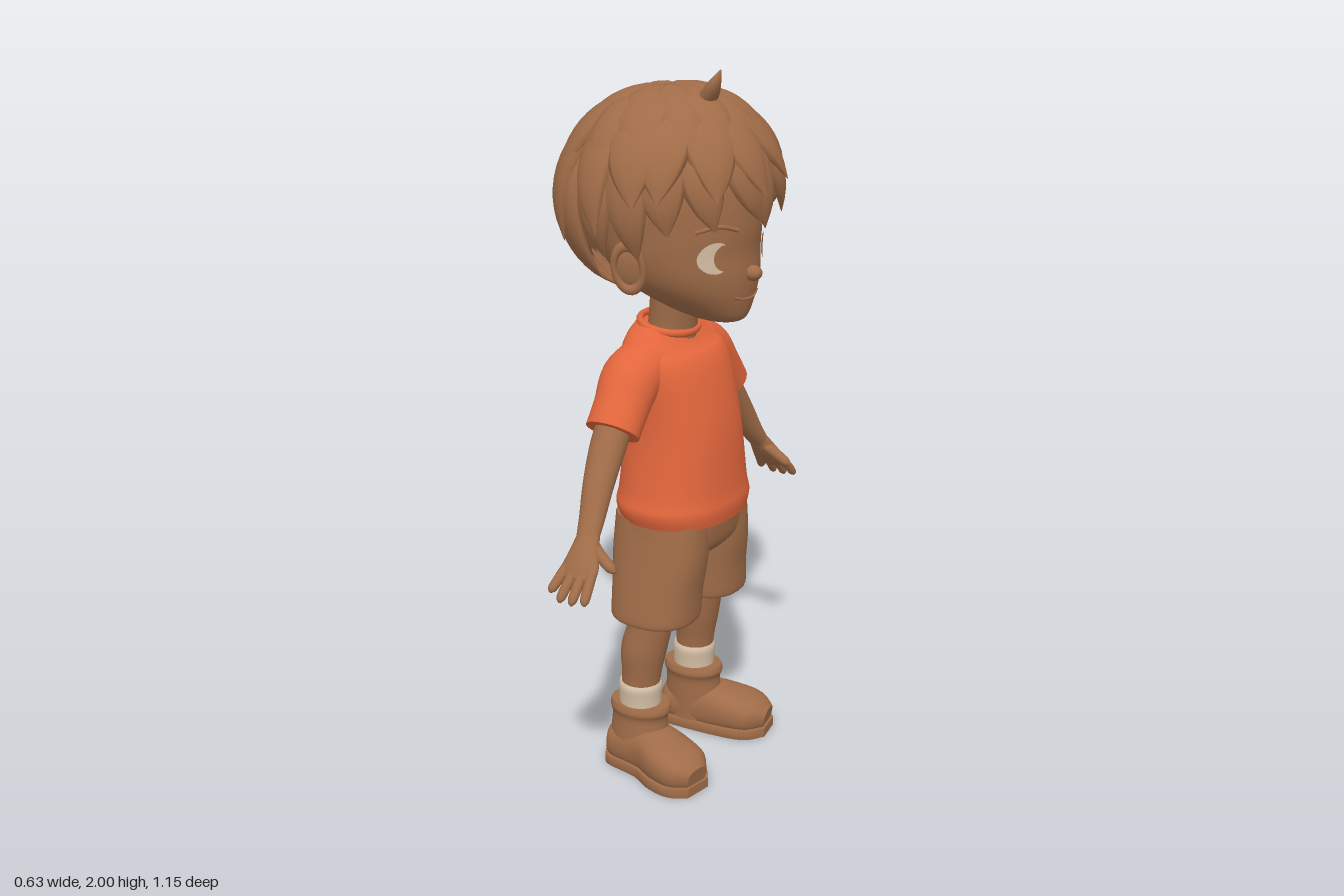
import * as THREE from 'three';

const material = (name, color, side = THREE.FrontSide) => {
  const m = new THREE.MeshStandardMaterial({ color, side });
  m.name = name;
  return m;
};

// Smooth loft through elliptical rings [x, y, z, halfWidth, halfDepth].
// ref points along the depth axis; dir fixes the ring normal (for level hems).
function loft(rings, { ref = [0, 0, 1], dir = null, seg = 28, steps = 5, pow = 2, warp = null } = {}) {
  const n = rings.length, rows = [];
  for (let i = 0; i < n - 1; i++) {
    const q = [rings[Math.max(i - 1, 0)], rings[i], rings[i + 1], rings[Math.min(i + 2, n - 1)]];
    for (let s = 0; s < steps + (i === n - 2 ? 1 : 0); s++) {
      const t = s / steps;
      rows.push(q[1].map((p, k) => {
        const m0 = (q[2][k] - q[0][k]) / 2, m1 = (q[3][k] - p) / 2, d = q[2][k] - p;
        return p + m0 * t + (3 * d - 2 * m0 - m1) * t * t + (m0 + m1 - 2 * d) * t * t * t;
      }));
    }
  }
  const pos = [], idx = [], R = new THREE.Vector3(...ref);
  const centre = (r) => new THREE.Vector3(r[0], r[1], r[2]);
  const add = (p) => { if (warp) warp(p); pos.push(p.x, p.y, p.z); };
  const addRing = (i) => {
    const t = dir ? new THREE.Vector3(...dir)
      : centre(rows[Math.min(i + 1, rows.length - 1)]).sub(centre(rows[Math.max(i - 1, 0)])).normalize();
    const b = R.clone().addScaledVector(t, -R.dot(t)).normalize();
    const a = t.clone().cross(b);
    const round = (v) => Math.sign(v) * Math.pow(Math.abs(v), 2 / pow);
    for (let j = 0; j < seg; j++) {
      const w = (j / seg) * Math.PI * 2;
      add(centre(rows[i]).addScaledVector(a, rows[i][3] * round(Math.cos(w))).addScaledVector(b, rows[i][4] * round(Math.sin(w))));
    }
  };
  rows.forEach((r, i) => addRing(i));
  for (let i = 0; i < rows.length - 1; i++) for (let j = 0; j < seg; j++) {
    const k = (j + 1) % seg, p = i * seg, u = p + seg;
    idx.push(p + j, u + j, p + k, p + k, u + j, u + k);
  }
  // End caps with their own vertices, so hems stay crisp
  [0, rows.length - 1].forEach((i) => {
    const o = pos.length / 3;
    addRing(i);
    add(centre(rows[i]));
    for (let j = 0; j < seg; j++) {
      const k = (j + 1) % seg;
      idx.push(o + seg, o + (i ? k : j), o + (i ? j : k));
    }
  });
  const g = new THREE.BufferGeometry();
  g.setAttribute('position', new THREE.Float32BufferAttribute(pos, 3));
  g.setIndex(idx);
  g.computeVertexNormals();
  return g;
}

export function createModel() {
  const brown = material('warm brown', 0xa06c48, THREE.DoubleSide);
  const orange = material('shirt orange', 0xe2663c);
  const cream = material('cream', 0xd6c0a6);
  const body = new THREE.Group();
  const put = (name, geo, mat) => {
    const m = new THREE.Mesh(geo, mat);
    m.name = name;
    body.add(m);
    return m;
  };
  const up = [0, 1, 0];
  const ball = (x, y, z, a, b, c) => new THREE.SphereGeometry(1, 24, 16).scale(a, b, c).translate(x, y, z);

  // Head and neck
  const head = put('head', loft([
    [0, 1.335, 0.165, 0.025, 0.03], [0, 1.345, 0.15, 0.06, 0.07], [0, 1.37, 0.115, 0.1, 0.118],
    [0, 1.42, 0.07, 0.158, 0.172], [0, 1.47, 0.04, 0.192, 0.205], [0, 1.53, 0.02, 0.21, 0.222],
    [0, 1.6, 0.01, 0.216, 0.236], [0, 1.7, 0, 0.22, 0.235], [0, 1.8, 0, 0.18, 0.19], [0, 1.88, 0, 0.08, 0.09],
  ], { dir: up, seg: 40 }), brown);
  put('neck', loft([[0, 1.2, -0.01, 0.09, 0.075], [0, 1.3, 0.0, 0.076, 0.066], [0, 1.42, 0.015, 0.08, 0.07]], { dir: up }), brown);
  put('nose', ball(0, 1.475, 0.25, 0.024, 0.021, 0.025), brown);

  // Thin face details laid on the head surface
  const ray = new THREE.Raycaster();
  const faceZ = (x, y) => {
    ray.set(new THREE.Vector3(x, y, 1), new THREE.Vector3(0, 0, -1));
    const hit = ray.intersectObject(head)[0];
    return hit ? hit.point.z : 0.2;
  };
  const patch = (x, y, rx, ry, lift) => {
    const g = new THREE.RingGeometry(0.001, 1, 28, 4).scale(rx, ry, 1).translate(x, y, 0);
    const p = g.attributes.position;
    for (let i = 0; i < p.count; i++) p.setZ(i, faceZ(p.getX(i), p.getY(i)) + lift);
    g.computeVertexNormals();
    return g;
  };
  const line = (pts, r) => new THREE.TubeGeometry(
    new THREE.CatmullRomCurve3(pts.map(([x, y]) => new THREE.Vector3(x, y, faceZ(x, y)))), 16, r, 8);
  put('mouth', line([[-0.06, 1.417], [-0.03, 1.408], [0, 1.406], [0.03, 1.408], [0.06, 1.417]], 0.004), brown);
  for (const s of [-1, 1]) {
    put('eyeWhite', patch(s * 0.118, 1.53, 0.038, 0.042, 0.003), cream);
    put('iris', patch(s * 0.099, 1.53, 0.026, 0.035, 0.006), brown);
    put('eyebrow', line([[s * 0.06, 1.598], [s * 0.11, 1.612], [s * 0.16, 1.6]], 0.006), brown);
    // Ear: bowl with a raised rim
    const ear = new THREE.Group();
    ear.name = 'ear';
    const bowl = new THREE.Mesh(ball(0, 0, 0, 0.024, 0.068, 0.044), brown);
    const rim = new THREE.Mesh(new THREE.TorusGeometry(0.052, 0.013, 10, 28).scale(0.72, 1.15, 1).rotateY(Math.PI / 2).translate(s * 0.016, 0, 0), brown);
    bowl.name = 'earBowl';
    rim.name = 'earRim';
    ear.add(bowl, rim);
    ear.position.set(s * 0.235, 1.51, 0.015);
    ear.rotation.set(-0.15, s * -0.45, s * -0.2);
    body.add(ear);
  }

  // Hair surface: polar angle th from the crown, azimuth ph from the front
  const hairPoint = (th, ph, k) => {
    const c = Math.cos(th), f = Math.cos(ph);
    return [0.285 * k * Math.sin(th) * Math.sin(ph), 1.66 + (c > 0 ? 0.28 : 0.27) * k * c, (f > 0 ? 0.275 : 0.29) * k * Math.sin(th) * f];
  };
  const hairline = (ph) => (98 + 60 * Math.pow((1 - Math.cos(ph)) / 2, 1.9)) * Math.PI / 180;
  const cap = new THREE.SphereGeometry(1, 48, 24);
  const cp = cap.attributes.position, uv = cap.attributes.uv;
  for (let i = 0; i < cp.count; i++) {
    const ph = uv.getX(i) * Math.PI * 2;
    cp.setXYZ(i, ...hairPoint((1 - uv.getY(i)) * (hairline(ph) - 0.14), ph, 1));
  }
  cap.computeVertexNormals();
  put('hairCap', cap, brown);

  // Pointed locks in overlapping rows: count, start, end, width, lift
  let seed = 7;
  const jitter = (a) => { seed = (seed * 16807) % 2147483647; return a * (seed / 1073741823 - 1); };
  const shape = [0.35, 0.8, 1, 0.92, 0.6, 0.04];
  const rows = [[17, 0.45, 1.0, 0.066, 0.06], [15, 0.25, 0.82, 0.068, 0.13], [13, 0.1, 0.62, 0.064, 0.09], [9, 0.03, 0.42, 0.055, 0.04]];
  rows.forEach(([count, start, end, width, lift], r) => {
    for (let i = 0; i < count; i++) {
      const ph = ((i + r * 0.5) / count) * Math.PI * 2 + jitter(0.07), limit = hairline(ph);
      const e = end + jitter(0.05), twist = 0.12 + jitter(0.14), w = width * (1 + jitter(0.15));
      const rings = shape.map((m, j) => {
        const u = j / (shape.length - 1);
        return [...hairPoint(limit * (start + (e - start) * u), ph + twist * u * u, 1 + lift * u * u), w * m, 0.024 * m];
      });
      const mid = rings[3];
      put('hairLock', loft(rings, { ref: [mid[0], mid[1] - 1.66, mid[2]], seg: 10, steps: 3 }), brown);
    }
  });
  put('hairTuft', loft([[-0.01, 1.88, 0.08, 0.03, 0.03], [-0.035, 1.93, 0.13, 0.035, 0.025], [-0.055, 1.965, 0.16, 0.022, 0.016], [-0.05, 2.0, 0.175, 0.002, 0.002]], { seg: 10 }), brown);

  // T-shirt with a neckline that dips at the front
  const dip = (p) => { if (p.y > 1.24 && p.z > 0) p.y -= p.z * 0.55 * (p.y - 1.24) / 0.07; };
  put('shirt', loft([
    [0, 0.77, 0.04, 0.2, 0.158], [0, 0.81, 0.036, 0.212, 0.167], [0, 0.86, 0.036, 0.2, 0.16], [0, 1.0, 0.035, 0.181, 0.15],
    [0, 1.1, 0.025, 0.18, 0.14], [0, 1.2, 0.01, 0.188, 0.122], [0, 1.25, -0.005, 0.18, 0.103],
    [0, 1.285, -0.015, 0.148, 0.088], [0, 1.31, -0.018, 0.1, 0.077],
  ], { dir: up, seg: 40, pow: 2.3, warp: dip }), orange);
  put('collar', new THREE.TorusGeometry(0.092, 0.011, 10, 36).scale(1, 0.84, 1).rotateX(Math.PI / 2 + 0.22).translate(0, 1.305, -0.012), orange);

  // Shorts waist
  put('shortsWaist', loft([[0, 0.67, 0.03, 0.16, 0.12], [0, 0.7, 0.03, 0.2, 0.142], [0, 0.76, 0.032, 0.2, 0.15], [0, 0.82, 0.035, 0.19, 0.15]], { dir: up, pow: 2.4 }), brown);

  for (const s of [-1, 1]) {
    const limb = (name, rings, mat, opts) => put(name, loft(rings.map(([x, ...rest]) => [s * x, ...rest]), opts), mat);

    // Sleeve, arm and hand
    limb('sleeve', [[0.11, 1.225, -0.01, 0.068, 0.08], [0.185, 1.185, -0.015, 0.08, 0.084], [0.24, 1.125, -0.01, 0.072, 0.077], [0.287, 1.067, -0.008, 0.067, 0.077]], orange);
    limb('arm', [[0.24, 1.13, -0.01, 0.05, 0.05], [0.305, 1.04, -0.008, 0.046, 0.05], [0.37, 0.95, 0.003, 0.039, 0.043], [0.42, 0.875, 0.016, 0.03, 0.036], [0.455, 0.83, 0.025, 0.023, 0.032]], brown);
    limb('palm', [[0.445, 0.843, 0.024, 0.022, 0.03], [0.475, 0.803, 0.03, 0.024, 0.042], [0.505, 0.765, 0.035, 0.02, 0.055], [0.525, 0.74, 0.037, 0.013, 0.052]], brown);
    for (let f = 0; f < 4; f++) {
      const o = f - 1.5, len = f === 0 ? 0.8 : f === 3 ? 0.92 : 1;
      limb('finger', [[0.508, 0.762, 0.035 + o * 0.027, 0.013, 0.014], [0.508 + 0.035 * len, 0.762 - 0.035 * len, 0.035 + o * 0.032, 0.013, 0.014],
        [0.508 + 0.058 * len, 0.762 - 0.062 * len, 0.034 + o * 0.036, 0.011, 0.012], [0.508 + 0.064 * len, 0.762 - 0.074 * len, 0.034 + o * 0.037, 0.003, 0.003]], brown, { seg: 12 });
    }
    limb('thumb', [[0.46, 0.815, 0.045, 0.017, 0.02], [0.468, 0.79, 0.08, 0.016, 0.016], [0.472, 0.77, 0.11, 0.014, 0.014], [0.474, 0.762, 0.124, 0.004, 0.004]], brown, { seg: 12, ref: [1, 0, 0] });

    // Shorts leg, leg and sock
    limb('shortsLeg', [[0.128, 0.48, 0.025, 0.108, 0.12], [0.128, 0.495, 0.025, 0.114, 0.126], [0.121, 0.57, 0.026, 0.11, 0.13], [0.111, 0.67, 0.03, 0.102, 0.14], [0.1, 0.78, 0.032, 0.095, 0.14]], brown, { dir: up, pow: 2.3 });
    limb('leg', [[0.148, 0.24, -0.017, 0.054, 0.056], [0.148, 0.3, -0.012, 0.056, 0.058], [0.145, 0.37, -0.006, 0.064, 0.066], [0.138, 0.46, 0.014, 0.061, 0.064], [0.13, 0.56, 0.02, 0.07, 0.075]], brown);
    limb('sock', [[0.148, 0.17, -0.017, 0.057, 0.06], [0.148, 0.22, -0.017, 0.059, 0.062], [0.148, 0.255, -0.016, 0.062, 0.064], [0.148, 0.27, -0.016, 0.057, 0.06]], cream, { dir: up });

    // Boot: shaft, foot and flat sole
    limb('bootShaft', [[0.15, 0.03, -0.02, 0.068, 0.09], [0.15, 0.1, -0.018, 0.068, 0.09], [0.147, 0.16, -0.018, 0.066, 0.086], [0.146, 0.185, -0.017, 0.073, 0.094], [0.146, 0.203, -0.017, 0.068, 0.09]], brown, { dir: up });
    const foot = [[0.146, 0.06, -0.112, 0.038, 0.045], [0.148, 0.06, -0.08, 0.066, 0.058], [0.16, 0.068, 0.03, 0.073, 0.072], [0.183, 0.062, 0.11, 0.085, 0.062], [0.198, 0.055, 0.17, 0.077, 0.052], [0.206, 0.048, 0.212, 0.04, 0.03]];
    limb('bootFoot', foot, brown, { ref: up, pow: 2.4, warp: (p) => { p.y = Math.max(p.y, 0.006); } });
    limb('bootSole', foot.map(([x, y, z, a]) => [x, 0.014, z * 1.02, a * 1.05, 0.03]), brown, { ref: up, pow: 4, warp: (p) => { p.y = Math.min(Math.max(p.y, 0), 0.028); } });
  }

  // The figure faces +x
  body.name = 'figure';
  body.rotation.y = Math.PI / 2;
  const model = new THREE.Group();
  model.name = 'standingChild';
  model.add(body);
  return model;
}
